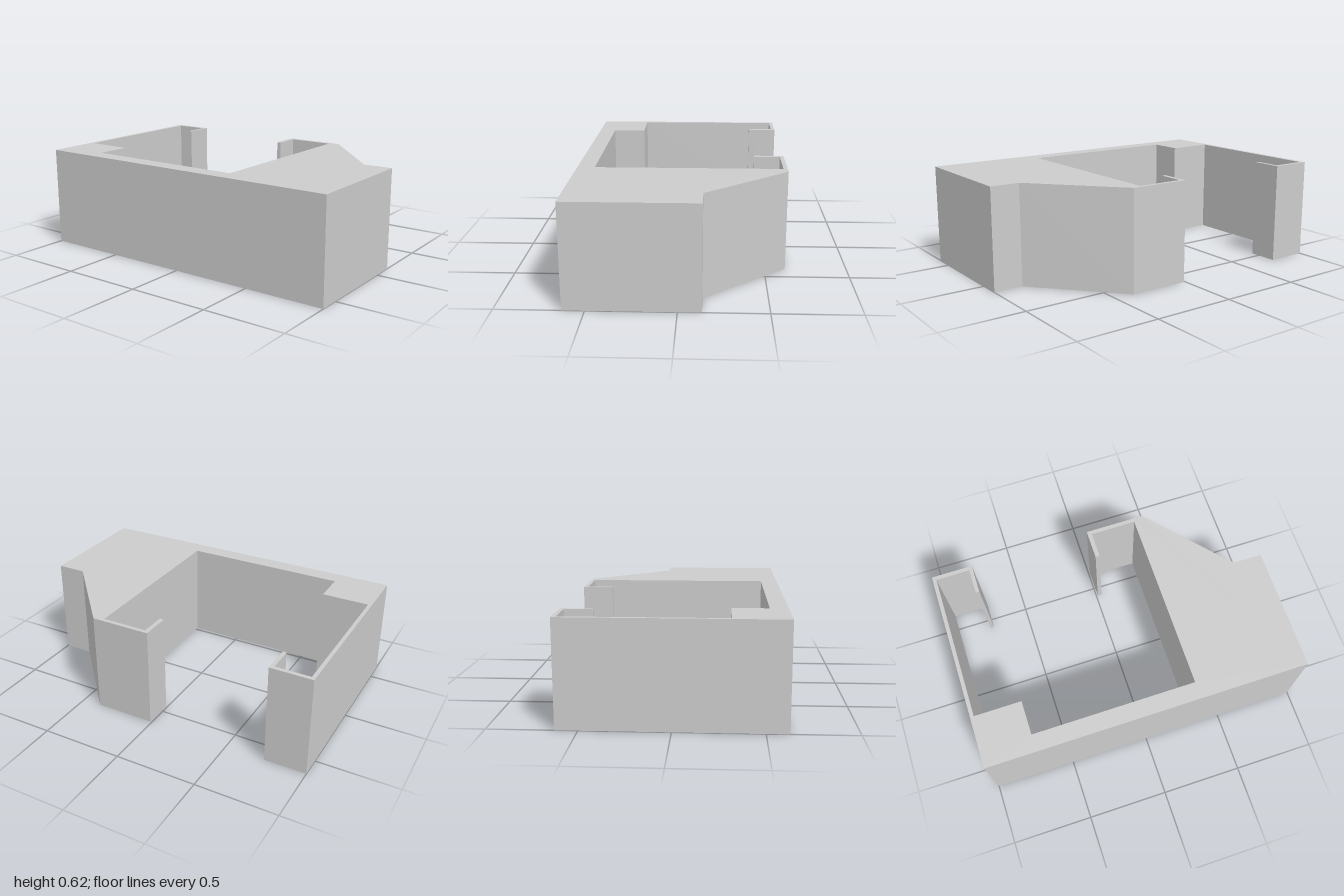
import * as THREE from 'three';

const HEIGHT = 0.615;

// Plan outline as [x, z] corners, walked around the bracket
const outline = [
  // front face and right-hand solid block with its chamfered back
  [-1, 0.627], [1, 0.627], [1, -0.133], [0.82, -0.133], [0.38, -0.627],
  // hooked lip on the block side
  [0.01, -0.627], [0.01, -0.442], [0.037, -0.442], [0.037, -0.602], [0.32, -0.602],
  // inside of the pocket and the corner step
  [0.32, 0.522], [-0.688, 0.522], [-0.688, 0.312], [-0.977, 0.312],
  // thin side wall and its hooked lip
  [-0.977, -0.602], [-0.767, -0.602], [-0.767, -0.442], [-0.744, -0.442],
  [-0.744, -0.627], [-1, -0.627],
];

export function createModel() {
  const group = new THREE.Group();
  group.name = 'clipBracket';

  // The shape lies in x and -z, then is turned so the extrusion runs upward
  const shape = new THREE.Shape(outline.map(([x, z]) => new THREE.Vector2(x, -z)));
  const geometry = new THREE.ExtrudeGeometry(shape, { depth: HEIGHT, bevelEnabled: false });
  geometry.rotateX(-Math.PI / 2);

  const body = new THREE.Mesh(
    geometry,
    new THREE.MeshStandardMaterial({ color: 0xcccccc, flatShading: true })
  );
  body.name = 'bracketBody';
  group.add(body);
  return group;
}
